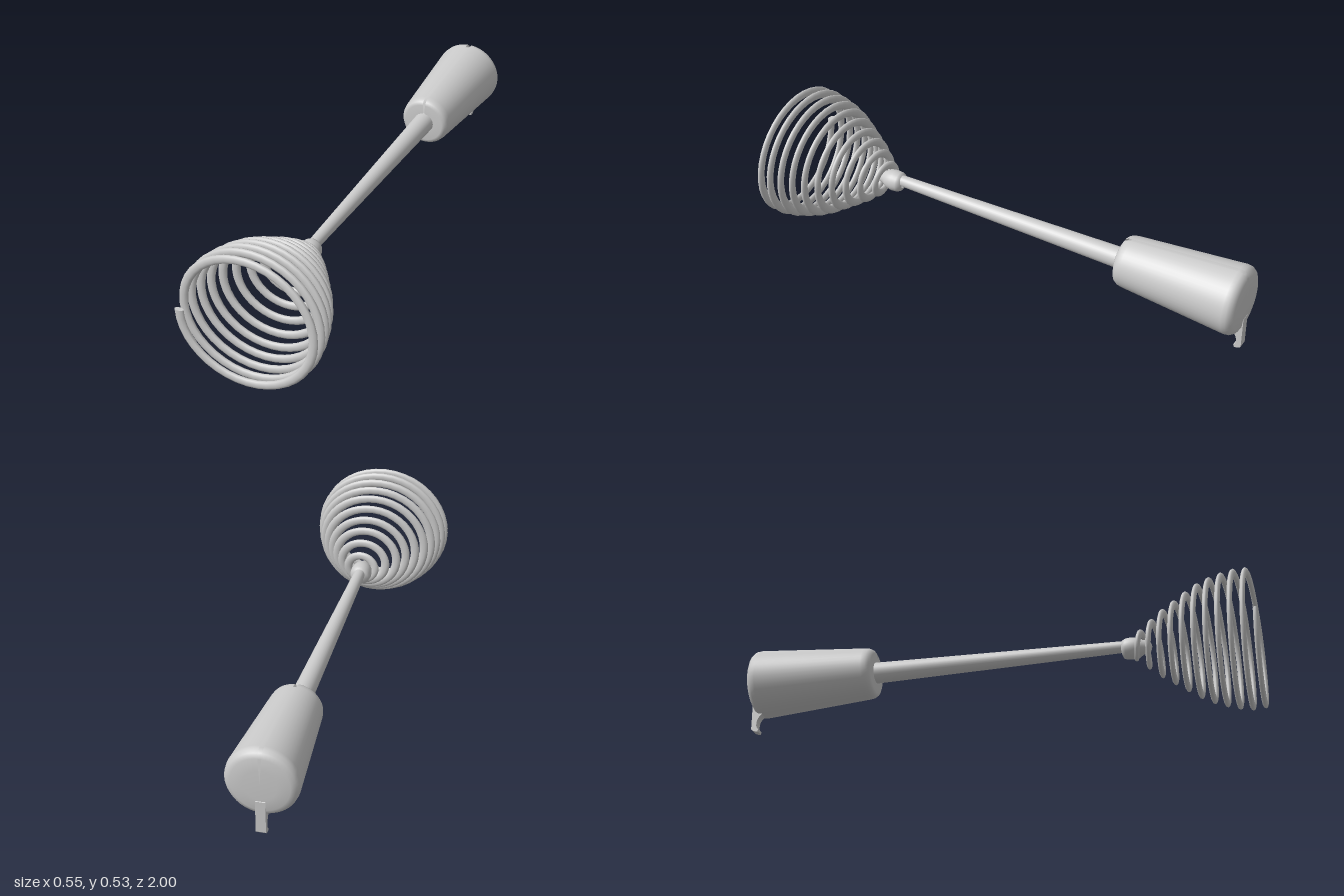
import * as THREE from 'three';

const AXIS_Y = 0.288;
const material = new THREE.MeshStandardMaterial({ color: 0xcccccc, side: THREE.DoubleSide });

function addMesh(group, name, geometry) {
  const mesh = new THREE.Mesh(geometry, material);
  mesh.name = name;
  group.add(mesh);
  return mesh;
}

// Turned part around the long z axis; profile is [radius, z] with z rising
function turned(profile, segments, phiStart = 0, phiLength = Math.PI * 2) {
  const points = profile.map(([r, z]) => new THREE.Vector2(r, z));
  return new THREE.LatheGeometry(points, segments, phiStart, phiLength)
    .rotateX(Math.PI / 2)
    .translate(0, AXIS_Y, 0);
}

// Smooth interpolation through [z, radius] pairs
function springRadius() {
  const curve = new THREE.SplineCurve([
    [0.99, 0.25], [0.944, 0.258], [0.898, 0.254], [0.852, 0.242], [0.806, 0.227], [0.76, 0.205],
    [0.714, 0.175], [0.668, 0.144], [0.622, 0.113], [0.576, 0.075], [0.52, 0.042],
  ].map(([z, r]) => new THREE.Vector2(z, r)));
  return (t) => curve.getPoint(t).y;
}

// Bell-shaped coil of flattened wire, swept as rings of cross-sections
function springGeometry() {
  const turns = 10.25, perTurn = 40, sides = 10;
  const steps = turns * perTurn;
  const radiusAt = springRadius();
  const positions = [], index = [];
  for (let i = 0; i <= steps; i++) {
    const t = i / steps;
    const angle = Math.PI + t * turns * Math.PI * 2;
    const radius = radiusAt(t);
    const centreY = 0.265 + 0.014 * t;
    for (let j = 0; j < sides; j++) {
      const a = (j / sides) * Math.PI * 2;
      const r = radius + 0.0175 * Math.cos(a);
      positions.push(
        r * Math.cos(angle),
        centreY + r * 0.955 * Math.sin(angle),
        0.99 - 0.47 * t + 0.01 * Math.sin(a),
      );
      if (i < steps) {
        const p = i * sides + j, q = i * sides + ((j + 1) % sides);
        index.push(p, p + sides, q, q, p + sides, q + sides);
      }
    }
  }
  // flat wire ends with their own vertices
  for (const [ring, flip] of [[0, false], [steps, true]]) {
    const base = positions.length / 3;
    for (let k = 0; k < sides * 3; k++) positions.push(positions[ring * sides * 3 + k]);
    for (let j = 1; j < sides - 1; j++) {
      index.push(base, base + (flip ? j + 1 : j), base + (flip ? j : j + 1));
    }
  }
  const geometry = new THREE.BufferGeometry();
  geometry.setAttribute('position', new THREE.Float32BufferAttribute(positions, 3));
  geometry.setIndex(index);
  geometry.computeVertexNormals();
  return geometry;
}

// Hanging hook: curved side profile (z, y) extruded across x
function hookGeometry() {
  const width = 0.036;
  const shape = new THREE.Shape();
  shape.moveTo(-0.985, 0.24);
  shape.lineTo(-0.999, 0.22);
  shape.lineTo(-0.999, 0.095);
  shape.quadraticCurveTo(-0.992, 0.084, -0.972, 0.084);
  shape.lineTo(-0.97, 0.094);
  shape.quadraticCurveTo(-0.982, 0.1, -0.978, 0.125);
  shape.quadraticCurveTo(-0.972, 0.155, -0.935, 0.168);
  shape.lineTo(-0.935, 0.2);
  shape.closePath();
  return new THREE.ExtrudeGeometry(shape, { depth: width, bevelEnabled: false, curveSegments: 8 })
    .translate(0, 0, -width / 2)
    .rotateY(-Math.PI / 2);
}

export function createModel() {
  const group = new THREE.Group();
  group.name = 'springWhisk';

  // Handle shell with a narrow slot along its top, over a solid core
  const slot = 0.06;
  addMesh(group, 'handleShell', turned([
    [0, -0.998], [0.06, -0.998], [0.105, -0.994], [0.122, -0.985], [0.131, -0.972], [0.133, -0.955],
    [0.1, -0.535], [0.097, -0.518], [0.09, -0.506], [0.078, -0.5], [0.035, -0.5],
  ], 48, Math.PI + slot, Math.PI * 2 - slot * 2));
  addMesh(group, 'handleCore', turned([
    [0, -0.994], [0.1, -0.989], [0.118, -0.978], [0.124, -0.955],
    [0.092, -0.53], [0.08, -0.508], [0, -0.506],
  ], 48));

  addMesh(group, 'hangingHook', hookGeometry());

  // Tapered shaft
  addMesh(group, 'shaft', turned([[0.041, -0.52], [0.022, 0.48]], 32));

  // Rounded collar gripping the spring, with a small tip
  addMesh(group, 'collar', turned([
    [0.018, 0.464], [0.034, 0.47], [0.04, 0.482], [0.042, 0.505], [0.038, 0.53],
    [0.028, 0.545], [0.024, 0.56], [0.018, 0.574], [0, 0.58],
  ], 32)).position.y = -0.01;

  addMesh(group, 'spring', springGeometry());
  return group;
}
